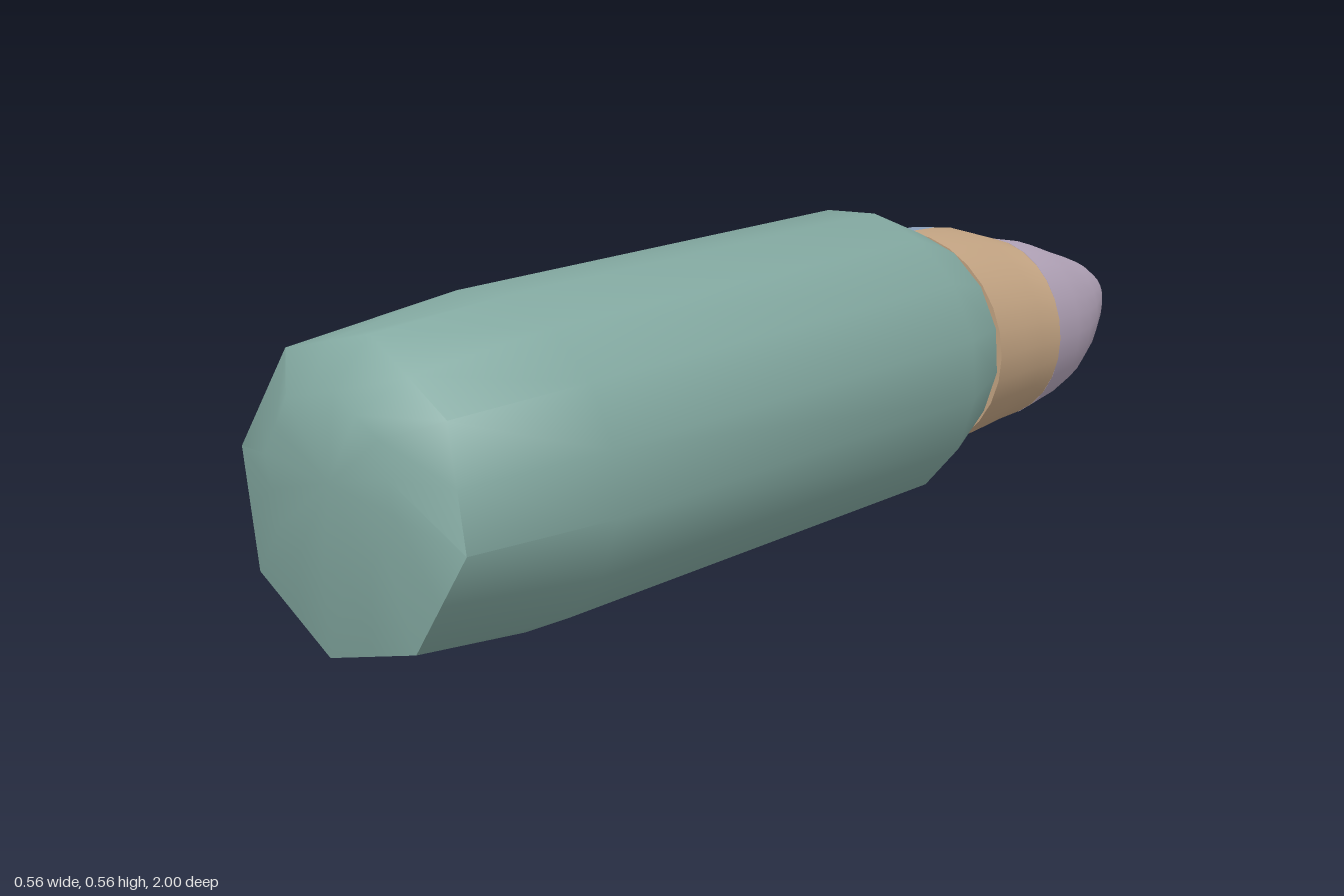
import * as THREE from 'three';
import { toCreasedNormals } from 'three/addons/utils/BufferGeometryUtils.js';

const paint = (name, color) => {
  const m = new THREE.MeshStandardMaterial({ color });
  m.name = name;
  return m;
};

// Closed solid through rings of [x, y, z], ordered from +z to -z, counter-clockwise seen from +z
function loft(rings, crease) {
  const n = rings[0].length;
  const pos = rings.flat(2);
  const index = [];
  for (let i = 0; i < rings.length - 1; i++) {
    for (let j = 0; j < n; j++) {
      const k = (j + 1) % n;
      const a = i * n + j, b = i * n + k, c = a + n, d = b + n;
      index.push(a, c, b, b, c, d);
    }
  }
  // End caps as fans round the middle of the ring
  [0, rings.length - 1].forEach((r, end) => {
    const mid = pos.length / 3;
    for (let axis = 0; axis < 3; axis++) {
      pos.push(rings[r].reduce((s, p) => s + p[axis], 0) / n);
    }
    for (let j = 0; j < n; j++) {
      const a = r * n + j, b = r * n + (j + 1) % n;
      index.push(mid, ...(end ? [b, a] : [a, b]));
    }
  });
  const g = new THREE.BufferGeometry();
  g.setAttribute('position', new THREE.Float32BufferAttribute(pos, 3));
  g.setIndex(index);
  return toCreasedNormals(g, crease);
}

// Round ring with 16 points; octagonal rings pull every second point onto the chord
function bodyRing([z, r, cx, cy, octagon, tilt = 0]) {
  return Array.from({ length: 16 }, (_, i) => {
    const t = (i / 16) * Math.PI * 2 - 0.14;
    const q = octagon && i % 2 ? r * Math.cos(Math.PI / 8) : r;
    const y = q * Math.sin(t);
    return [cx + q * Math.cos(t), cy + y, z - tilt * y];
  });
}

// D-shaped ring: flat on the inside, half an ellipse on the outside
function halfRing([z, inner, outer, low, high], side) {
  const ring = Array.from({ length: 15 }, (_, i) => {
    const t = (i / 14 - 0.5) * Math.PI;
    return [
      side * (inner + (outer - inner) * Math.cos(t)),
      (low + high) / 2 + ((high - low) / 2) * Math.sin(t),
      z,
    ];
  });
  return side > 0 ? ring : ring.reverse();
}

export function createModel() {
  const group = new THREE.Group();
  const add = (name, geometry, material) => {
    const mesh = new THREE.Mesh(geometry, material);
    mesh.name = name;
    group.add(mesh);
  };

  // Long body: z, radius, centre x, centre y, octagon, tilt
  const body = [
    [1.0, 0.15, 0.01, 0.33, true],
    [0.95, 0.265, 0, 0.292, true, 0.08],
    [0.65, 0.285, 0, 0.285, false],
    [-0.31, 0.281, 0, 0.287, false],
    [-0.47, 0.217, 0, 0.287, false],
  ];
  add('body', loft(body.map(bodyRing), 1.0), paint('teal', 0x84aaa2));

  // Jaw profiles: z, inner x, outer x, low y, high y
  const base = [
    [-0.47, 0, 0.225, 0.072, 0.503],
    [-0.55, 0, 0.225, 0.078, 0.499],
    [-0.61, 0, 0.225, 0.086, 0.49],
    [-0.67, 0.06, 0.225, 0.108, 0.467],
  ];
  const jaw = [
    [-0.67, 0.062, 0.225, 0.108, 0.467],
    [-0.76, 0.056, 0.21, 0.117, 0.448],
    [-0.84, 0.051, 0.184, 0.13, 0.42],
    [-0.91, 0.046, 0.156, 0.16, 0.397],
    [-0.97, 0.043, 0.127, 0.205, 0.375],
    [-1.0, 0.048, 0.108, 0.25, 0.355],
  ];
  const sides = [
    [1, 'left', paint('tan', 0xc2a382), paint('mauve', 0xb5a6bb)],
    [-1, 'right', paint('blue', 0x8ea3bf), paint('green', 0xa0ad86)],
  ];
  for (const [side, name, baseMaterial, jawMaterial] of sides) {
    add(name + 'JawBase', loft(base.map(r => halfRing(r, side)), 0.7), baseMaterial);
    add(name + 'Jaw', loft(jaw.map(r => halfRing(r, side)), 0.9), jawMaterial);
  }
  return group;
}
